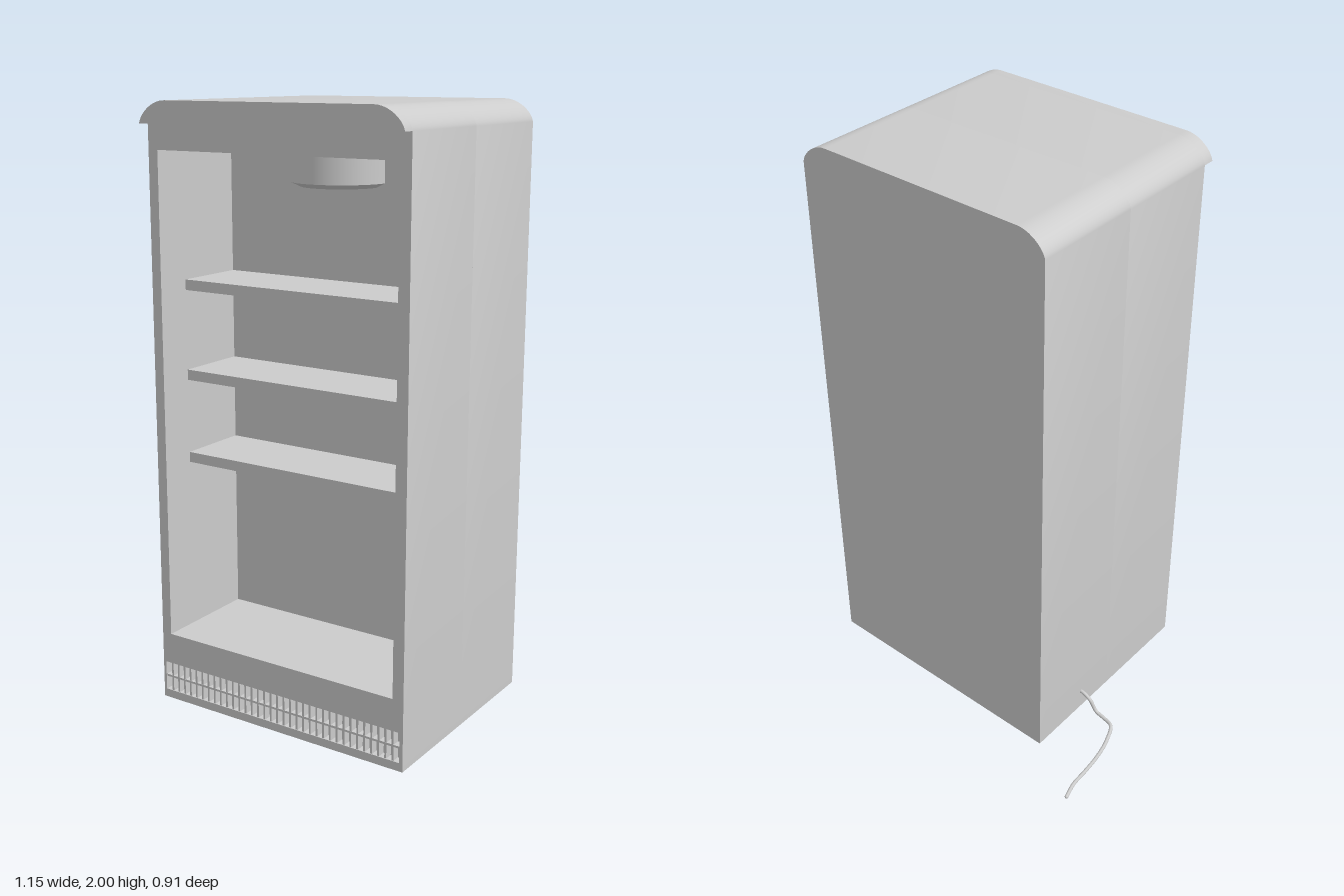
import * as THREE from 'three';
import { toCreasedNormals } from 'three/addons/utils/BufferGeometryUtils.js';

const X0 = -0.36, X1 = 0.575, CX = (X0 + X1) / 2;
const BACK = -0.335, INNER = 0.045, FRONT = 0.415, VISOR = 0.455;
const HOLD = { x0: -0.325, x1: 0.537, y0: 0.255, y1: 1.85 };
const VENT = { x0: -0.35, x1: 0.563, y0: 0.05, y1: 0.15 };

// Upright outline with rounded shoulders
function outline(bottom) {
  const s = new THREE.Shape();
  s.moveTo(X0, bottom);
  s.lineTo(X1, bottom);
  s.lineTo(X1, 1.93);
  s.bezierCurveTo(X1 - 0.005, 1.96, X1 - 0.05, 2, X1 - 0.1, 2);
  s.lineTo(X0 + 0.1, 2);
  s.bezierCurveTo(X0 + 0.05, 2, X0 + 0.005, 1.96, X0, 1.93);
  s.closePath();
  return s;
}

function rectHole({ x0, x1, y0, y1 }) {
  const p = new THREE.Path();
  p.moveTo(x0, y0);
  p.lineTo(x0, y1);
  p.lineTo(x1, y1);
  p.lineTo(x1, y0);
  p.closePath();
  return p;
}

export function createModel() {
  const model = new THREE.Group();
  const mat = new THREE.MeshStandardMaterial({ color: 0xcccccc });

  function add(name, geometry, x = 0, y = 0, z = 0, parent = model) {
    const mesh = new THREE.Mesh(geometry, mat);
    mesh.name = name;
    mesh.position.set(x, y, z);
    parent.add(mesh);
    return mesh;
  }
  function slab(name, shape, z0, z1) {
    const g = new THREE.ExtrudeGeometry(shape, { depth: z1 - z0, bevelEnabled: false, curveSegments: 10 });
    return add(name, toCreasedNormals(g, 0.5), 0, 0, z0);
  }

  // Cabinet: solid rear, open front with compartment and vent openings
  slab('cabinetRear', outline(0.022), BACK, INNER);
  const frame = outline(0.022);
  frame.holes.push(rectHole(HOLD), rectHole(VENT));
  slab('cabinetFrame', frame, INNER, FRONT);

  // Overhanging lip above the opening
  slab('topLip', outline(1.93), FRONT, VISOR);

  // Shelves against the rear wall
  const width = HOLD.x1 - HOLD.x0, mid = (HOLD.x0 + HOLD.x1) / 2;
  for (const y of [0.843, 1.122, 1.418]) {
    add('shelf', new THREE.BoxGeometry(width, 0.034, 0.25), mid, y, INNER + 0.125);
  }

  // Half-round lamp under the compartment ceiling
  const lamp = new THREE.Group();
  lamp.name = 'lamp';
  model.add(lamp);
  const half = (top, bottom, h) =>
    new THREE.CylinderGeometry(top, bottom, h, 24, 1, false, -Math.PI / 2, Math.PI);
  add('lampBody', half(0.16, 0.16, 0.1), 0.106, 1.8, INNER, lamp);
  add('lampRim', half(0.16, 0.128, 0.015), 0.106, 1.7425, INNER, lamp);

  // Vent grille: recessed panel with upright fins and a cross bar
  const vent = new THREE.Group();
  vent.name = 'ventGrille';
  model.add(vent);
  const vw = VENT.x1 - VENT.x0, vh = VENT.y1 - VENT.y0, vy = (VENT.y0 + VENT.y1) / 2;
  add('ventPanel', new THREE.BoxGeometry(vw, vh, 0.02), (VENT.x0 + VENT.x1) / 2, vy, 0.375, vent);
  const fin = new THREE.BoxGeometry(0.007, vh, 0.028);
  const count = 36;
  for (let i = 1; i < count; i++) {
    add('ventFin', fin, VENT.x0 + (vw * i) / count, vy, 0.398, vent);
  }
  add('ventBar', new THREE.BoxGeometry(vw, 0.007, 0.028), (VENT.x0 + VENT.x1) / 2, vy, 0.3985, vent);

  // Power cord trailing from the side to the back
  const path = new THREE.CatmullRomCurve3([
    [-0.34, 0.097, -0.105], [-0.37, 0.095, -0.105], [-0.4, 0.077, -0.104], [-0.425, 0.034, -0.1],
    [-0.46, 0.026, -0.102], [-0.5, 0.025, -0.113], [-0.525, 0.012, -0.17], [-0.54, 0.008, -0.24],
    [-0.553, 0.018, -0.33], [-0.56, 0.025, -0.4], [-0.573, 0.022, -0.453],
  ].map((p) => new THREE.Vector3(...p)));
  add('powerCord', new THREE.TubeGeometry(path, 60, 0.0065, 8));
  const end = add('cordEnd', new THREE.SphereGeometry(0.0065, 8, 6));
  end.position.copy(path.getPoint(1));

  return model;
}
